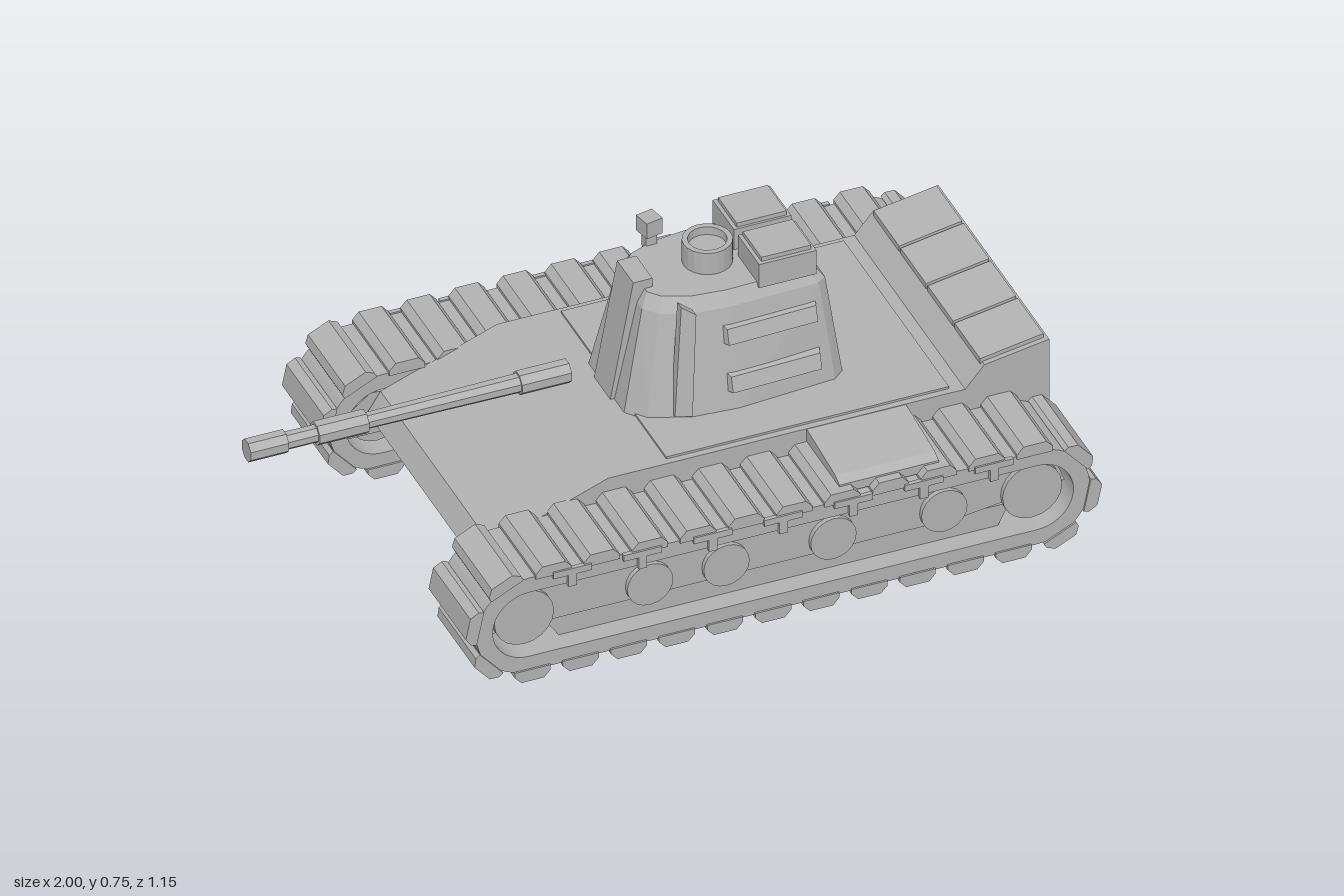
import * as THREE from 'three';
import { ConvexGeometry } from 'three/addons/geometries/ConvexGeometry.js';

const grey = new THREE.MeshStandardMaterial({ color: 0xb2b2b2 });
grey.name = 'plainGrey';

const V = (x, y, z) => new THREE.Vector3(x, y, z);

function add(parent, name, geometry, x = 0, y = 0, z = 0) {
  const m = new THREE.Mesh(geometry, grey);
  m.name = name;
  m.position.set(x, y, z);
  parent.add(m);
  return m;
}

const box = (parent, name, w, h, d, x, y, z) =>
  add(parent, name, new THREE.BoxGeometry(w, h, d), x, y, z);

// Side profile in x/y, extruded from z0 to z1
function slab(parent, name, points, z0, z1) {
  const shape = new THREE.Shape(points.map(p => new THREE.Vector2(p[0], p[1])));
  const g = new THREE.ExtrudeGeometry(shape, { depth: z1 - z0, bevelEnabled: false });
  return add(parent, name, g, 0, 0, z0);
}

// Track centre line: straight runs joined by two half circles
const X0 = -0.5, X1 = 0.83, CY = 0.165;
function stadium(Path, r) {
  const p = new Path();
  p.absarc(X1, CY, r, -Math.PI / 2, Math.PI / 2, false);
  p.absarc(X0, CY, r, Math.PI / 2, Math.PI * 1.5, false);
  p.closePath();
  return p;
}

function createTrack(side) {
  const g = new THREE.Group();
  g.name = side > 0 ? 'frontSideTrack' : 'backSideTrack';
  const zc = side * 0.453, W = 0.23;

  // Belt ring
  const ring = stadium(THREE.Shape, 0.138);
  ring.holes.push(stadium(THREE.Path, 0.095));
  add(g, 'trackBelt', new THREE.ExtrudeGeometry(ring, { depth: W - 0.01, bevelEnabled: false, curveSegments: 14 }),
    0, 0, zc - (W - 0.01) / 2);

  // Tapered cleats spaced around the belt
  const cleat = new THREE.ExtrudeGeometry(new THREE.Shape([
    [-0.047, -0.006], [0.047, -0.006], [0.047, 0.008], [0.03, 0.027], [-0.03, 0.027], [-0.047, 0.008],
  ].map(p => new THREE.Vector2(...p))), { depth: W, bevelEnabled: false });
  const path = stadium(THREE.Path, 0.138), n = 28;
  for (let i = 0; i < n; i++) {
    const u = (i + 0.5) / n, p = path.getPointAt(u), t = path.getTangentAt(u);
    const m = add(g, 'trackCleat', cleat, p.x, p.y, zc - W / 2);
    m.rotation.z = Math.atan2(-t.y, -t.x);
  }

  // Recessed side panels inside the belt
  const zi = side * 0.435;
  slab(g, 'upperSidePanel', [[-0.59, 0.13], [0.65, 0.13], [0.92, 0.165], [0.9, 0.22], [0.86, 0.25], [-0.53, 0.25], [-0.58, 0.21]],
    zi - 0.085, zi + 0.085);
  slab(g, 'lowerSidePanel', [[-0.4, 0.07], [0.75, 0.07], [0.78, 0.13], [-0.44, 0.13]], zi - 0.075, zi + 0.075);

  // Road wheels and end wheels
  for (const [x, y, r] of [[X0, CY, 0.078], [-0.17, 0.17, 0.06], [0.03, 0.17, 0.06], [0.31, 0.17, 0.06], [0.6, 0.17, 0.06], [X1, CY, 0.078]]) {
    const w = add(g, 'wheel', new THREE.CylinderGeometry(r, r, 0.16, 20), x, y, zc);
    w.rotation.x = Math.PI / 2;
  }

  // Small T-shaped hangers on the outer face
  for (let i = 0; i < 7; i++) {
    const x = -0.39 + i * 0.184;
    box(g, 'hangerBar', 0.1, 0.018, 0.012, x, 0.298, side * 0.567);
    box(g, 'hangerStem', 0.022, 0.04, 0.012, x, 0.275, side * 0.567);
  }

  // Sloped stowage lid above the track
  const pts = [];
  for (const x of [0.32, 0.58])
    for (const [z, y] of [[0.34, 0.31], [0.34, 0.367], [0.52, 0.347], [0.545, 0.335], [0.545, 0.31]])
      pts.push(V(x, y, side * z));
  add(g, 'trackLid', new ConvexGeometry(pts));
  return g;
}

function createHull() {
  const g = new THREE.Group();
  g.name = 'hull';
  slab(g, 'hullBody', [
    [-0.4, 0.075], [0.8, 0.075], [0.955, 0.19], [0.955, 0.455], [0.785, 0.427],
    [0.735, 0.368], [-0.2, 0.368], [-0.505, 0.255], [-0.54, 0.2],
  ], -0.343, 0.343);
  box(g, 'deckPlate', 0.74, 0.008, 0.65, 0.33, 0.37, 0);

  // Four rear bin lids
  for (let i = 0; i < 4; i++) {
    const z = -0.251 + i * 0.167;
    slab(g, 'rearBinLid', [[0.78, 0.42], [0.945, 0.445], [0.945, 0.465], [0.78, 0.437]], z - 0.079, z + 0.079);
  }
  return g;
}

function createTurret() {
  const g = new THREE.Group();
  g.name = 'turret';
  // Shell from three mirrored cross-sections: [height, [x, half width]...]
  const sections = [
    [0.365, [[-0.06, 0.11], [-0.02, 0.16], [0.08, 0.2], [0.2, 0.21], [0.46, 0.19], [0.49, 0.165]]],
    [0.64, [[0, 0.08], [0.03, 0.115], [0.1, 0.145], [0.2, 0.155], [0.435, 0.147], [0.458, 0.13]]],
    [0.675, [[0.02, 0.065], [0.045, 0.095], [0.11, 0.122], [0.2, 0.132], [0.41, 0.125], [0.43, 0.11]]],
  ];
  const pts = [];
  for (const [y, ring] of sections)
    for (const [x, z] of ring) pts.push(V(x, y, z), V(x, y, -z));
  add(g, 'turretShell', new ConvexGeometry(pts));

  // Gun shield column at the nose
  slab(g, 'gunShield', [[-0.07, 0.37], [0.04, 0.37], [0.04, 0.7], [-0.01, 0.7]], -0.05, 0.05);

  // Curved cheek plate
  const cheek = [];
  for (const [x, y, z] of [[0.04, 0.38, 0.19], [0.08, 0.38, 0.205], [0.065, 0.685, 0.17], [0.1, 0.66, 0.18]])
    cheek.push(V(x, y, z), V(x, y, z - 0.025));
  add(g, 'cheekPlate', new ConvexGeometry(cheek));

  // Raised side bars
  for (const s of [1, -1])
    for (const [y, z] of [[0.572, 0.168], [0.447, 0.193]]) {
      const bar = [];
      for (const [dx, dy, dz] of [[0.13, 0.028, -0.03], [0.118, 0.02, 0.012]])
        for (const a of [1, -1])
          for (const b of [1, -1]) bar.push(V(0.3 + a * dx, y + b * dy, s * (z + dz - b * 0.006 - a * 0.004)));
      add(g, 'sideBar', new ConvexGeometry(bar));
    }

  // Roof boxes with lids
  for (const s of [1, -1]) {
    box(g, 'roofBox', 0.15, 0.07, 0.132, 0.355, 0.7, s * 0.078);
    box(g, 'roofBoxLid', 0.13, 0.014, 0.115, 0.355, 0.74, s * 0.076);
  }

  // Open cupola
  const cupola = [[0, 0.715], [0.048, 0.715], [0.048, 0.738], [0.062, 0.738], [0.062, 0.66]]
    .map(p => new THREE.Vector2(...p)).reverse();
  const cup = new THREE.LatheGeometry(cupola, 20).toNonIndexed();
  cup.computeVertexNormals();
  add(g, 'cupola', cup, 0.205, 0, 0);

  // Periscope
  box(g, 'periscope', 0.028, 0.06, 0.028, 0.105, 0.69, -0.122);
  box(g, 'periscopeHead', 0.046, 0.045, 0.046, 0.105, 0.728, -0.122).rotation.y = 0.2;
  return g;
}

function createGun() {
  const g = new THREE.Group();
  g.name = 'gun';
  // [start x, end x, start radius, end radius]
  for (const [a, b, ra, rb] of [
    [-1, -0.9, 0.03, 0.03], [-0.9, -0.82, 0.023, 0.023], [-0.82, -0.69, 0.031, 0.031],
    [-0.69, -0.29, 0.021, 0.025], [-0.29, -0.16, 0.031, 0.031],
  ]) {
    const m = add(g, 'barrelSection', new THREE.CylinderGeometry(ra, rb, b - a, 8).toNonIndexed(), (a + b) / 2, 0.446, -0.003);
    m.geometry.computeVertexNormals();
    m.rotation.set(Math.PI / 8, 0, Math.PI / 2);
  }
  return g;
}

export function createModel() {
  const model = new THREE.Group();
  model.name = 'tank';
  model.add(createHull(), createTurret(), createGun(), createTrack(1), createTrack(-1));
  return model;
}
